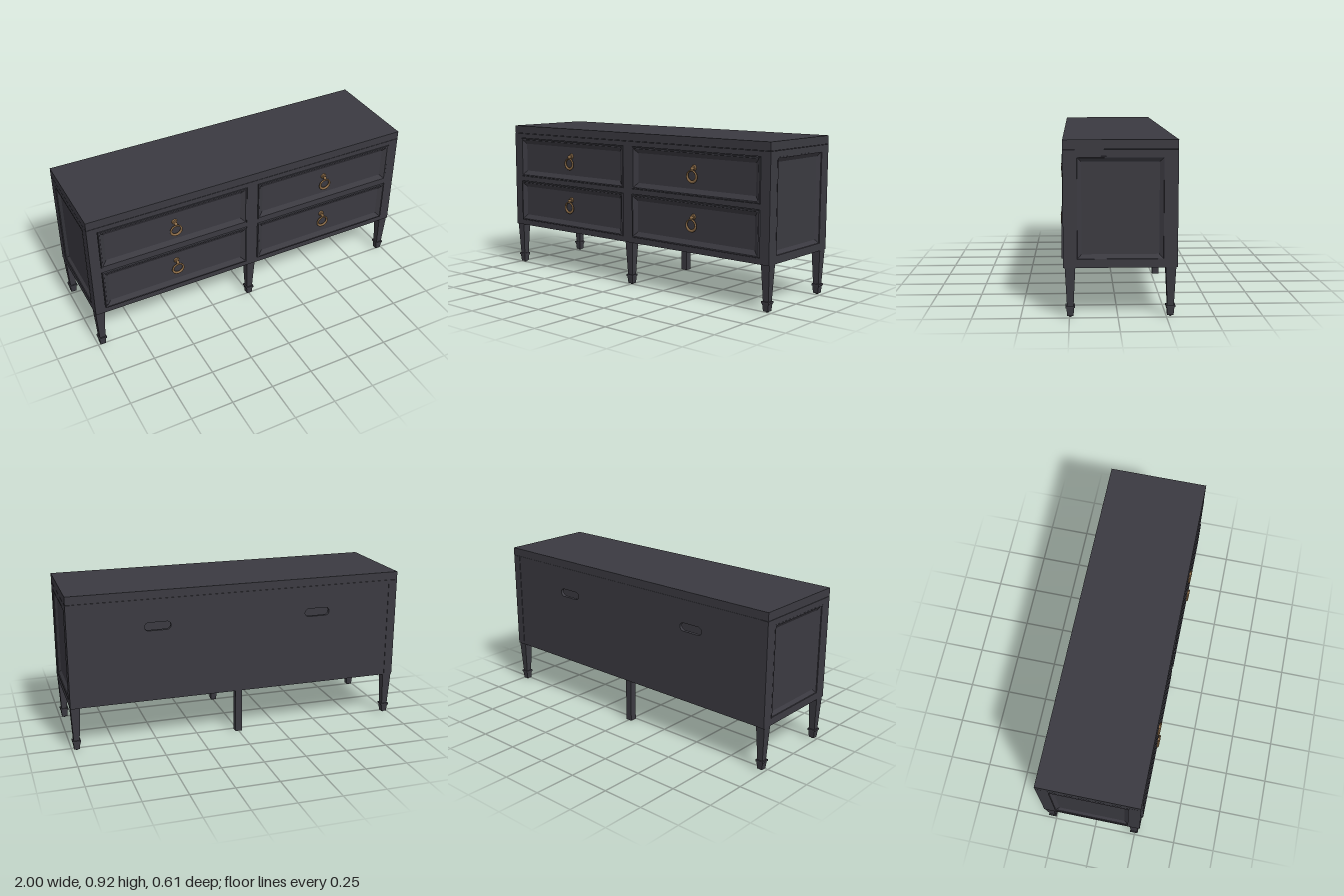
import * as THREE from 'three';

const paint = new THREE.MeshStandardMaterial({ color: 0x3b3a41 });
paint.name = 'charcoal paint';
const brass = new THREE.MeshStandardMaterial({ color: 0x8c6c48 });
brass.name = 'aged brass';

function add(parent, name, geometry, material, x = 0, y = 0, z = 0) {
  const mesh = new THREE.Mesh(geometry, material);
  mesh.name = name;
  mesh.position.set(x, y, z);
  parent.add(mesh);
  return mesh;
}

// Box given by its minimum and maximum corners
function block(parent, name, [x0, y0, z0], [x1, y1, z1]) {
  return add(parent, name, new THREE.BoxGeometry(x1 - x0, y1 - y0, z1 - z0), paint,
    (x0 + x1) / 2, (y0 + y1) / 2, (z0 + z1) / 2);
}

function rectangle(path, x0, y0, x1, y1) {
  path.moveTo(x0, y0).lineTo(x1, y0).lineTo(x1, y1).lineTo(x0, y1).closePath();
  return path;
}

// Rectangular board with holes, extruded towards +z
function board(x0, y0, x1, y1, holes, depth) {
  const shape = rectangle(new THREE.Shape(), x0, y0, x1, y1);
  shape.holes.push(...holes);
  return new THREE.ExtrudeGeometry(shape, { depth, bevelEnabled: false, curveSegments: 8 });
}

// Moulded panel: rectangles at [inset, z] joined in a loop and capped in the middle
function mouldedPanel(w, h, profile) {
  const loops = profile.map(([d, z]) => {
    const a = w / 2 - d, b = h / 2 - d;
    return [[-a, -b, z], [a, -b, z], [a, b, z], [-a, b, z]];
  });
  const pos = [];
  const quad = (a, b, c, d) => pos.push(...a, ...b, ...c, ...a, ...c, ...d);
  for (let k = 0; k < loops.length - 1; k++) {
    for (let i = 0; i < 4; i++) {
      const j = (i + 1) % 4;
      quad(loops[k][i], loops[k][j], loops[k + 1][j], loops[k + 1][i]);
    }
  }
  quad(...loops[loops.length - 1]);
  const g = new THREE.BufferGeometry();
  g.setAttribute('position', new THREE.Float32BufferAttribute(pos, 3));
  g.computeVertexNormals();
  return g;
}

// Square taper from half width b (bottom) to t (top)
function taper(b, t, h) {
  const g = new THREE.CylinderGeometry(t * Math.SQRT2, b * Math.SQRT2, h, 4).toNonIndexed();
  g.rotateY(Math.PI / 4);
  g.computeVertexNormals();
  return g;
}

function makeLeg(x, z) {
  const leg = new THREE.Group();
  leg.name = 'taperedLeg';
  leg.position.set(x, 0, z);
  add(leg, 'legShaft', taper(0.017, 0.027, 0.205), paint, 0, 0.1625);
  add(leg, 'legCollar', new THREE.BoxGeometry(0.048, 0.011, 0.048), paint, 0, 0.056);
  add(leg, 'legFoot', taper(0.016, 0.02, 0.045), paint, 0, 0.0295);
  add(leg, 'legGlide', new THREE.CylinderGeometry(0.007, 0.007, 0.008, 12), paint, 0, 0.004);
  return leg;
}

// Ring pull: round plate, stud and hanging ring, thicker at the bottom
function makePull() {
  const pull = new THREE.Group();
  pull.name = 'ringPull';
  const plate = add(pull, 'pullPlate', new THREE.CylinderGeometry(0.014, 0.017, 0.008, 20), brass, 0, 0.046, 0.004);
  plate.rotation.x = Math.PI / 2;
  const stem = add(pull, 'pullStem', new THREE.CylinderGeometry(0.007, 0.007, 0.022, 12), brass, 0, 0.043, 0.012);
  stem.rotation.x = Math.PI / 2;
  add(pull, 'pullStud', new THREE.SphereGeometry(0.01, 14, 10), brass, 0, 0.042, 0.02);
  const ring = new THREE.TorusGeometry(0.032, 0.0065, 10, 36);
  const p = ring.attributes.position;
  for (let i = 0; i < p.count; i++) {
    const x = p.getX(i), y = p.getY(i), r = Math.hypot(x, y);
    const k = (0.032 + (r - 0.032) * (1 - 0.35 * y / r)) / r;
    p.setXY(i, x * k, y * k);
  }
  ring.computeVertexNormals();
  add(pull, 'pullRing', ring, brass, 0, 0, 0.022).rotation.x = 0.06;
  return pull;
}

export function createModel() {
  const model = new THREE.Group();
  model.name = 'sideboard';

  // Top, core and underside
  block(model, 'top', [-1, 0.867, -0.305], [1, 0.915, 0.28]);
  block(model, 'core', [-0.968, 0.27, -0.25], [0.968, 0.867, 0.242]);
  block(model, 'underside', [-0.972, 0.262, -0.295], [0.972, 0.28, 0.27]);

  // Face frame with four drawer openings
  const columns = [-0.4875, 0.4875];
  const rows = [{ y: 0.711, h: 0.25, z: 0.284, ring: 0.697 }, { y: 0.425, h: 0.26, z: 0.288, ring: 0.422 }];
  const openings = columns.flatMap(x => rows.map(r =>
    rectangle(new THREE.Path(), x - 0.4525, r.y - r.h / 2, x + 0.4525, r.y + r.h / 2)));
  add(model, 'faceFrame', board(-1, 0.262, 1, 0.865, openings, 0.04), paint, 0, 0, 0.24);

  // Drawers with a sunken centre, each with a ring pull
  for (const x of columns) {
    for (const r of rows) {
      const drawer = new THREE.Group();
      drawer.name = 'drawer';
      drawer.position.set(x, r.y, r.z);
      add(drawer, 'drawerFront', mouldedPanel(0.898, r.h - 0.006,
        [[0, -0.045], [0, 0], [0.008, 0], [0.01, -0.003], [0.034, -0.018]]), paint);
      const pull = makePull();
      pull.position.set(0, r.ring - r.y, -0.018);
      drawer.add(pull);
      model.add(drawer);
    }
  }

  // Side frames with sunken moulded panels
  for (const s of [-1, 1]) {
    const opening = rectangle(new THREE.Path(), -0.215, 0.3, 0.24, 0.832);
    const frame = add(model, 'sideFrame', board(-0.24, 0.262, 0.305, 0.865, [opening], 0.03), paint, s > 0 ? 0.97 : -1);
    frame.rotation.y = Math.PI / 2;
    const panel = add(model, 'sidePanel', mouldedPanel(0.455, 0.532,
      [[0, -0.02], [0, 0.001], [0.007, 0.001], [0.008, -0.004], [0.029, -0.018]]), paint, s, 0.566, -0.0125);
    panel.rotation.y = s * Math.PI / 2;
  }

  // Back board with two cable slots
  const slots = [-0.485, 0.485].map(x => {
    const slot = new THREE.Path();
    slot.absarc(x + 0.053, 0.705, 0.024, -Math.PI / 2, Math.PI / 2, false);
    slot.absarc(x - 0.053, 0.705, 0.024, Math.PI / 2, Math.PI * 1.5, false);
    slot.closePath();
    return slot;
  });
  add(model, 'backBoard', board(-0.97, 0.262, 0.97, 0.865, slots, 0.02), paint, 0, 0, -0.302);
  for (const s of [-1, 1]) {
    block(model, 'backStile', [s * 0.96 - 0.012, 0.263, -0.305], [s * 0.96 + 0.012, 0.865, -0.29]);
  }

  // Five tapered legs and a plain support at the middle of the back
  for (const x of [-0.972, 0.972]) {
    model.add(makeLeg(x, 0.245), makeLeg(x, -0.271));
  }
  model.add(makeLeg(0, 0.245));
  block(model, 'rearSupport', [-0.02, 0, -0.295], [0.02, 0.265, -0.255]);

  return model;
}
